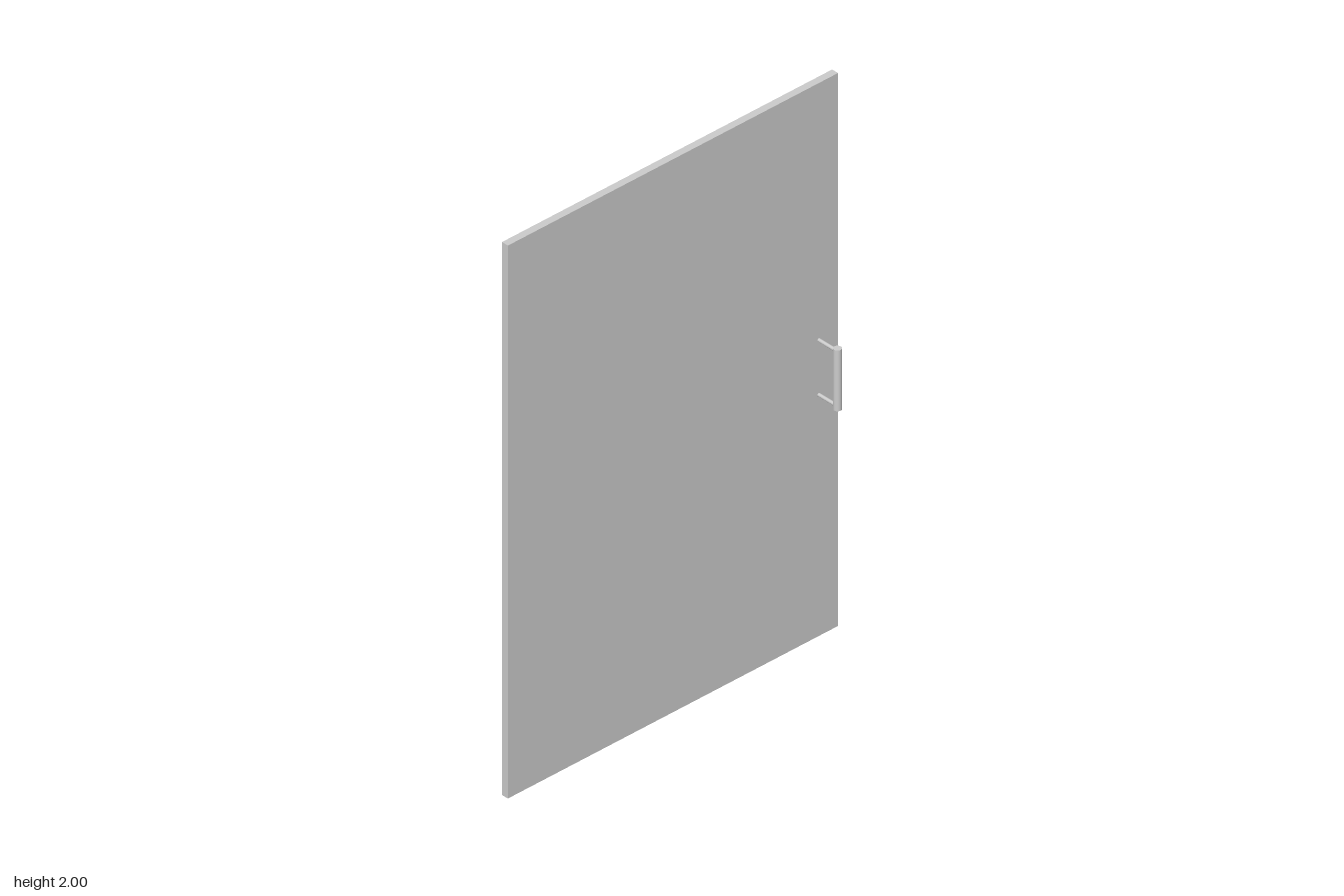
import * as THREE from 'three';

export function createModel() {
  const model = new THREE.Group();
  const material = new THREE.MeshStandardMaterial({ color: 0xcccccc });

  const add = (parent, name, geometry, x, y, z) => {
    const mesh = new THREE.Mesh(geometry, material);
    mesh.name = name;
    mesh.position.set(x, y, z);
    parent.add(mesh);
    return mesh;
  };

  // The whole door stands swung open about the vertical axis
  const door = new THREE.Group();
  door.name = 'door';
  door.position.x = -0.0205;
  door.rotation.y = 1.011;
  model.add(door);

  // Flat slab
  add(door, 'doorPanel', new THREE.BoxGeometry(1.351, 2, 0.026), 0, 1, 0);

  // Pull handles, mirrored on both faces
  const handleX = 0.597, reach = 0.095;
  for (const side of [1, -1]) {
    const handle = new THREE.Group();
    handle.name = side > 0 ? 'frontHandle' : 'backHandle';
    door.add(handle);
    add(handle, 'handleBar', new THREE.CylinderGeometry(0.0135, 0.0135, 0.22, 32), handleX, 0.972, side * reach);
    // Thin posts from the slab to the bar
    for (const y of [0.873, 1.071]) {
      const post = add(handle, 'handlePost', new THREE.CylinderGeometry(0.006, 0.006, reach, 20), handleX, y, side * reach / 2);
      post.rotation.x = Math.PI / 2;
    }
  }

  return model;
}
